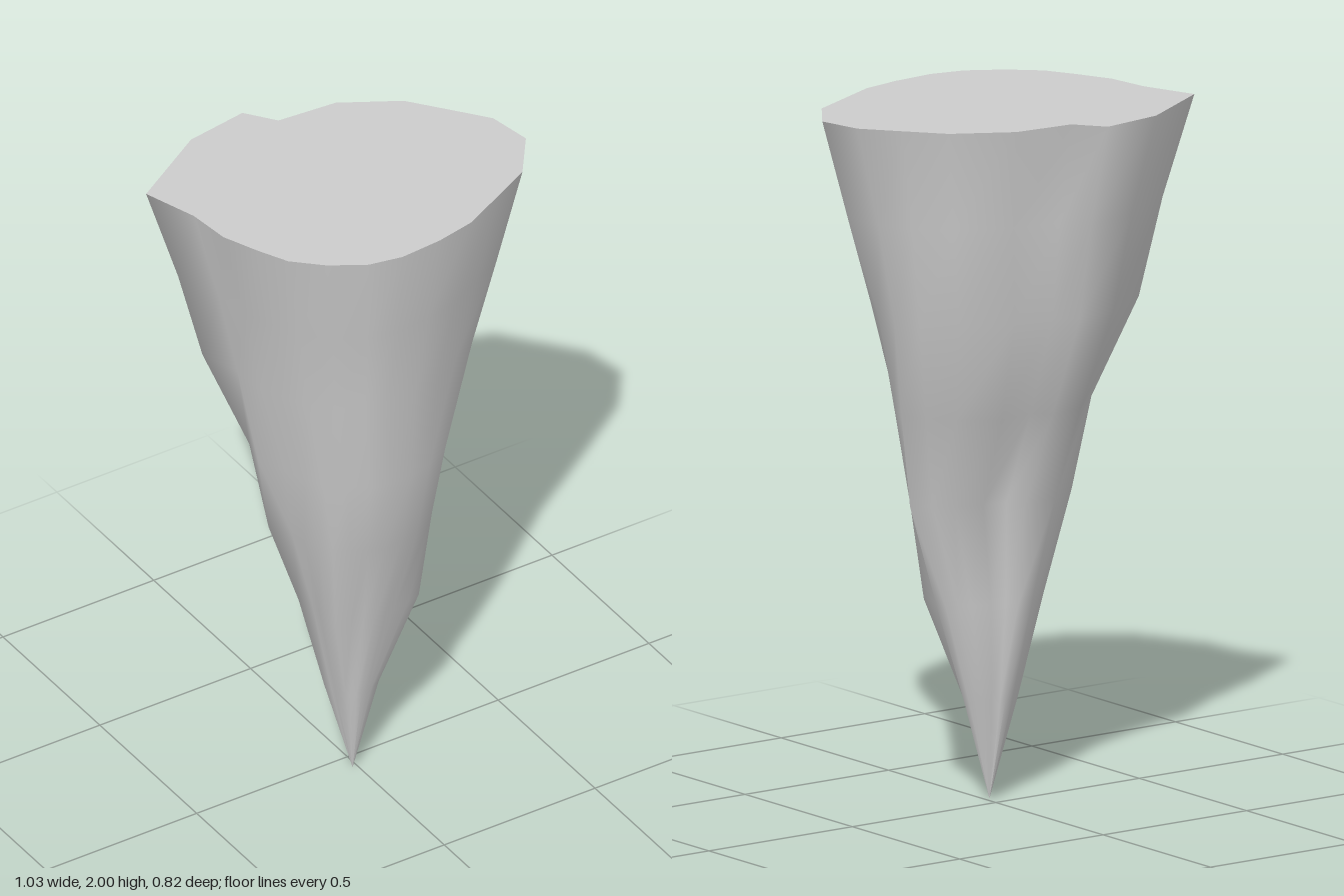
import * as THREE from 'three';

// Outline of the broad end as [x, z], clockwise seen from above
const OUTLINE = [
  [-0.52, -0.23], [-0.275, -0.38], [-0.085, -0.41], [-0.02, -0.325], [0.16, -0.31],
  [0.325, -0.215], [0.41, -0.11], [0.49, -0.01], [0.515, 0.12], [0.42, 0.25],
  [0.30, 0.31], [0.17, 0.375], [0.05, 0.40], [-0.08, 0.41], [-0.18, 0.39],
  [-0.28, 0.33], [-0.36, 0.255], [-0.405, 0.165], [-0.45, 0.06], [-0.465, -0.07],
];

// Cross-sections from tip to top. Relief pushes single outline
// points out (over 1) or in (under 1) to form ridges and grooves.
const LEVELS = [
  { y: 0, x: [-0.015, -0.015], z: [0.05, 0.05], relief: {} },
  { y: 0.29, x: [-0.085, 0.065], z: [-0.015, 0.105], relief: { 4: 0.9, 14: 0.95 } },
  { y: 0.58, x: [-0.145, 0.155], z: [-0.08, 0.165],
    relief: { 3: 0.92, 4: 0.9, 8: 0.98, 9: 1.2, 10: 1.15, 14: 0.92, 15: 0.95, 16: 1.3, 17: 1.2, 18: 1.05 } },
  { y: 0.87, x: [-0.235, 0.25], z: [-0.095, 0.235],
    relief: { 0: 1.04, 1: 1.1, 3: 0.92, 4: 0.9, 5: 0.95, 7: 1.05, 8: 0.86, 9: 0.85, 14: 0.95, 15: 0.93 } },
  { y: 1.14, x: [-0.305, 0.295], z: [-0.195, 0.30],
    relief: { 0: 0.91, 4: 1.2, 5: 1.12, 6: 1.1, 7: 1.05, 8: 0.9, 9: 0.88, 15: 0.95, 19: 1.1 } },
  { y: 1.43, x: [-0.375, 0.355], z: [-0.30, 0.315],
    relief: { 4: 1.05, 5: 1.18, 6: 1.18, 7: 1.05, 8: 0.96, 15: 0.97 } },
  { y: 1.71, x: [-0.44, 0.43], z: [-0.345, 0.365], relief: { 5: 1.05, 6: 1.05 } },
  { y: 2, x: [-0.52, 0.515], z: [-0.41, 0.41], relief: {} },
];

// Fits one outline point into the extents of a cross-section
function ringPoint(i, { y, x, z, relief }) {
  const k = relief[i] ?? 1;
  const u = (OUTLINE[i][0] + 0.52) / 1.035 - 0.5;
  const v = (OUTLINE[i][1] + 0.41) / 0.82 - 0.5;
  return [(x[0] + x[1]) / 2 + u * k * (x[1] - x[0]), y, (z[0] + z[1]) / 2 + v * k * (z[1] - z[0])];
}

export function createModel() {
  const group = new THREE.Group();
  group.name = 'stalactite';
  const material = new THREE.MeshStandardMaterial({ color: 0xcccccc });
  const n = OUTLINE.length;

  // Tapering side, lofted through the cross-sections
  const positions = [], indices = [];
  LEVELS.forEach((level, row) => {
    for (let i = 0; i < n; i++) {
      positions.push(...ringPoint(i, level));
      if (row === LEVELS.length - 1) continue;
      const a = row * n + i, b = row * n + (i + 1) % n;
      if (row > 0) indices.push(a, a + n, b);
      indices.push(b, a + n, b + n);
    }
  });
  const side = new THREE.BufferGeometry();
  side.setAttribute('position', new THREE.Float32BufferAttribute(positions, 3));
  side.setIndex(indices);
  side.computeVertexNormals();
  const body = new THREE.Mesh(side, material);
  body.name = 'rockSide';
  group.add(body);

  // Flat top
  const shape = new THREE.Shape(OUTLINE.map(([x, z]) => new THREE.Vector2(x, -z)));
  const cap = new THREE.Mesh(new THREE.ShapeGeometry(shape).rotateX(-Math.PI / 2), material);
  cap.position.y = 2;
  cap.name = 'flatTop';
  group.add(cap);

  return group;
}
